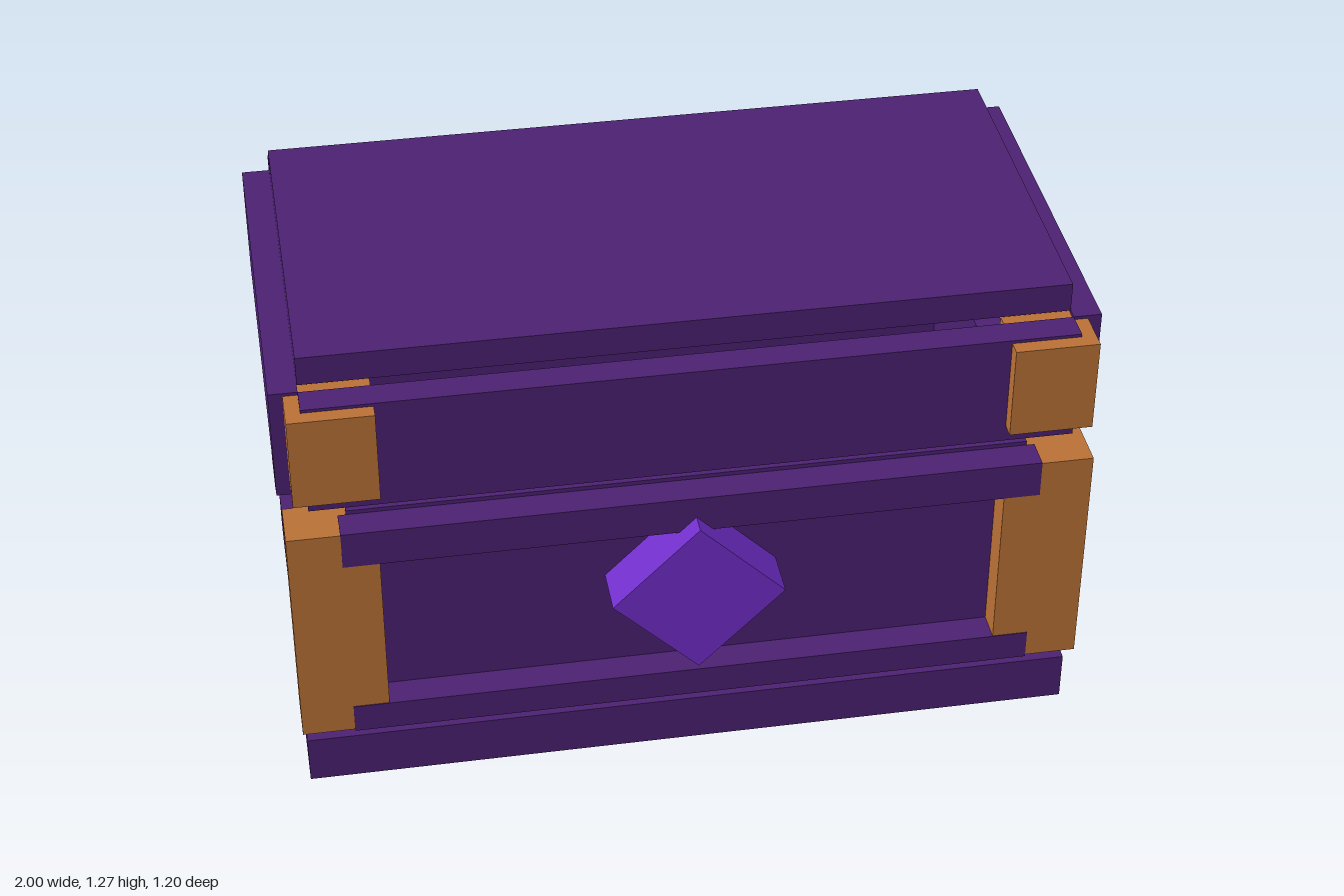
import * as THREE from 'three';

export function createModel() {
  const group = new THREE.Group();
  const material = (name, color) => {
    const m = new THREE.MeshStandardMaterial({ color });
    m.name = name;
    return m;
  };
  const wood = material('dark purple wood', 0x4b2070);
  const copper = material('copper', 0xb87035);
  const violet = material('violet gem', 0x702cc8);

  // Box given by its extents on each axis
  const box = (name, mat, [x0, x1], [y0, y1], [z0, z1]) => {
    const mesh = new THREE.Mesh(new THREE.BoxGeometry(x1 - x0, y1 - y0, z1 - z0), mat);
    mesh.position.set((x0 + x1) / 2, (y0 + y1) / 2, (z0 + z1) / 2);
    mesh.name = name;
    group.add(mesh);
    return mesh;
  };
  // Mirrored pair of boxes on the left and right
  const pair = (name, mat, [x0, x1], y, z) => {
    box(name + 'Left', mat, [x0, x1], y, z);
    box(name + 'Right', mat, [-x1, -x0], y, z);
  };
  // Rod lying along x
  const rod = (name, radius, x0, x1) => {
    const geometry = new THREE.CylinderGeometry(radius, radius, x1 - x0, 20).rotateZ(Math.PI / 2);
    const mesh = new THREE.Mesh(geometry, copper);
    mesh.position.set((x0 + x1) / 2, 0.905, -0.545);
    mesh.name = name;
    group.add(mesh);
  };

  // Base and floor
  box('base', wood, [-0.98, 0.98], [0, 0.13], [-0.54, 0.495]);
  box('floor', wood, [-0.84, 0.84], [0.13, 0.21], [-0.435, 0.39]);

  // Chest walls
  const wallY = [0.21, 0.828];
  pair('chestSide', wood, [0.84, 0.91], wallY, [-0.44, 0.4]);
  box('chestFront', wood, [-0.84, 0.84], wallY, [0.4, 0.47]);
  box('chestBack', wood, [-0.84, 0.84], wallY, [-0.515, -0.44]);

  // Corner posts
  pair('frontPost', copper, [0.77, 0.99], [0.198, 0.814], [0.42, 0.546]);
  pair('backPost', copper, [0.86, 0.99], [0.198, 0.814], [-0.59, -0.462]);

  // Front rails
  box('lowerRail', wood, [-0.86, 0.86], [0.194, 0.273], [0.47, 0.548]);
  box('upperRail', wood, [-0.86, 0.86], [0.718, 0.817], [0.47, 0.548]);

  // Diamond ornament
  const gem = box('diamondOrnament', violet, [-0.152, 0.152], [0.393, 0.697], [0.465, 0.6]);
  gem.rotation.z = Math.PI / 4;

  // Lid: four separate walls and a raised top panel
  const lidY = [0.895, 1.19];
  pair('lidSide', wood, [0.93, 1], lidY, [-0.515, 0.47]);
  box('lidFront', wood, [-0.93, 0.93], lidY, [0.47, 0.543]);
  box('lidBack', wood, [-0.93, 0.93], lidY, [-0.588, -0.515]);
  box('lidTop', wood, [-0.93, 0.93], [1.19, 1.266], [-0.487, 0.442]);
  pair('lidCorner', copper, [0.76, 0.966], [0.938, 1.182], [0.43, 0.58]);

  // Hinge rod and knuckles
  rod('hingeRod', 0.034, -0.79, 0.79);
  rod('hingeLeft', 0.052, 0.78, 0.85);
  rod('hingeRight', 0.052, -0.85, -0.78);

  return group;
}
